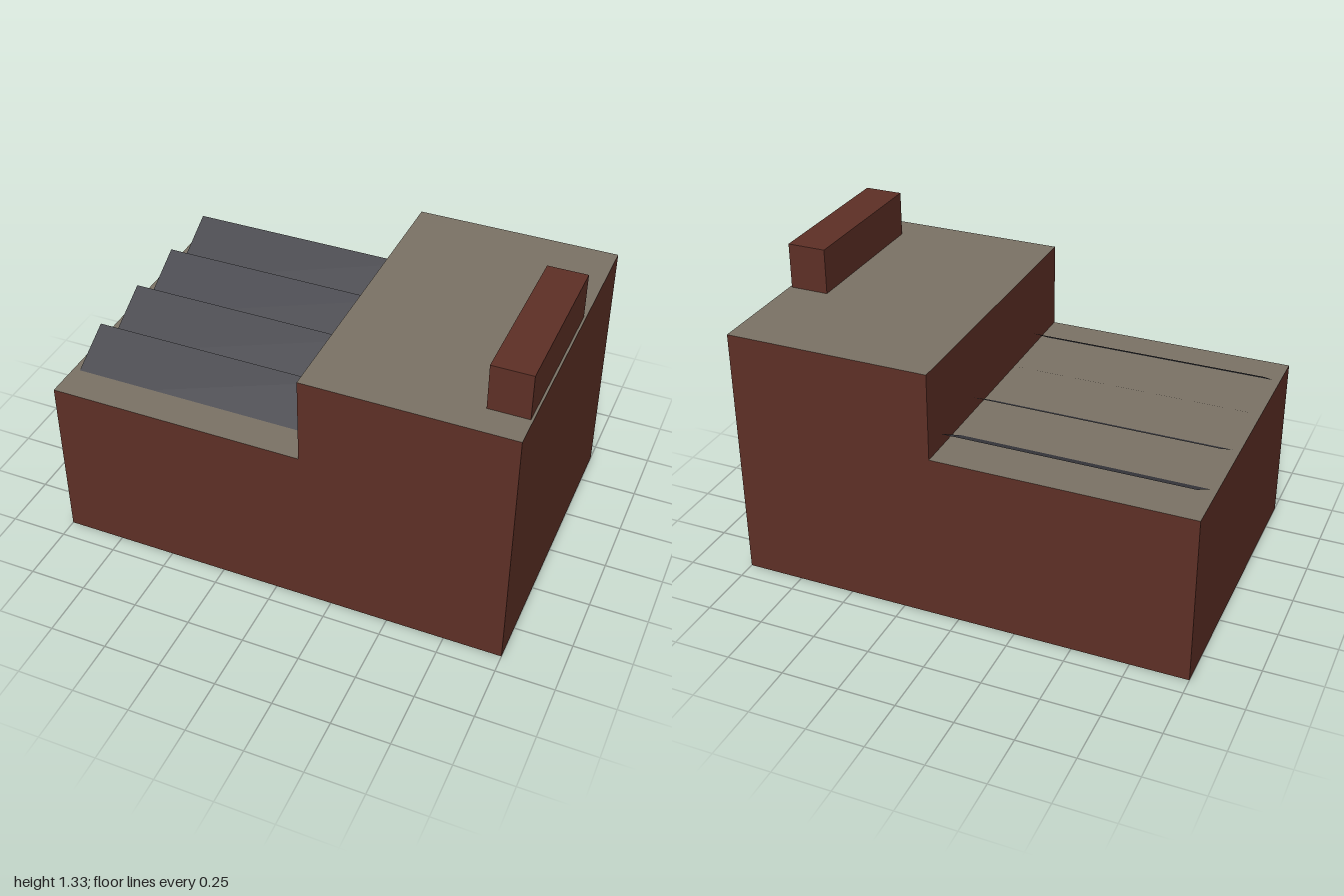
import * as THREE from 'three';

const material = (name, color) => {
  const m = new THREE.MeshStandardMaterial({ color, side: THREE.DoubleSide });
  m.name = name;
  return m;
};

export function createModel() {
  const brick = material('brick', 0x5e3026);
  const roofing = material('roofing', 0x7b7366);
  const panelDark = material('dark panel', 0x424248);

  const group = new THREE.Group();
  group.name = 'building';
  const add = (name, geometry, mat, x = 0, y = 0, z = 0) => {
    const mesh = new THREE.Mesh(geometry, mat);
    mesh.name = name;
    mesh.position.set(x, y, z);
    group.add(mesh);
    return mesh;
  };

  const halfX = 1, halfZ = 0.667, stepX = 0.113, lowY = 0.75, highY = 1.13;

  // Stepped front and back walls
  const outline = new THREE.Shape([
    [-halfX, 0], [halfX, 0], [halfX, highY], [stepX, highY], [stepX, lowY], [-halfX, lowY],
  ].map(([x, y]) => new THREE.Vector2(x, y)));
  add('frontWall', new THREE.ShapeGeometry(outline), brick, 0, 0, halfZ);
  add('backWall', new THREE.ShapeGeometry(outline).scale(-1, 1, 1).rotateY(Math.PI), brick, 0, 0, -halfZ);

  // End walls and the wall between the two wings; the underside stays open
  const crossWall = (name, x, height, side) =>
    add(name, new THREE.PlaneGeometry(2 * halfZ, height).rotateY(side * Math.PI / 2), brick, x, height / 2, 0);
  crossWall('leftWall', halfX, highY, 1);
  crossWall('rightWall', -halfX, lowY, -1);
  crossWall('middleWall', stepX, highY, -1);

  // Flat roofs
  const roof = (name, x0, x1, y) =>
    add(name, new THREE.PlaneGeometry(x1 - x0, 2 * halfZ).rotateX(-Math.PI / 2), roofing, (x0 + x1) / 2, y, 0);
  roof('lowRoof', -halfX, stepX, lowY);
  roof('highRoof', stepX, halfX, highY);

  // Chimney block along the outer edge
  add('chimney', new THREE.BoxGeometry(0.17, 0.2, 0.705), brick, 0.905, highY + 0.1, 0.18);

  // Tilted roof panels whose lower edges sink through the low roof
  const tilt = Math.PI / 6, rise = 0.113, sunk = 0.056;
  const panel = new THREE.PlaneGeometry(1.045, (rise + sunk) / Math.sin(tilt)).rotateX(tilt - Math.PI / 2);
  for (let i = 0; i < 4; i++) {
    const backEdge = -0.637 + i * 0.3165;
    const depth = (rise + sunk) / Math.tan(tilt);
    add('roofPanel', panel, panelDark, -0.4475, lowY + (rise - sunk) / 2, backEdge + depth / 2);
  }

  return group;
}
